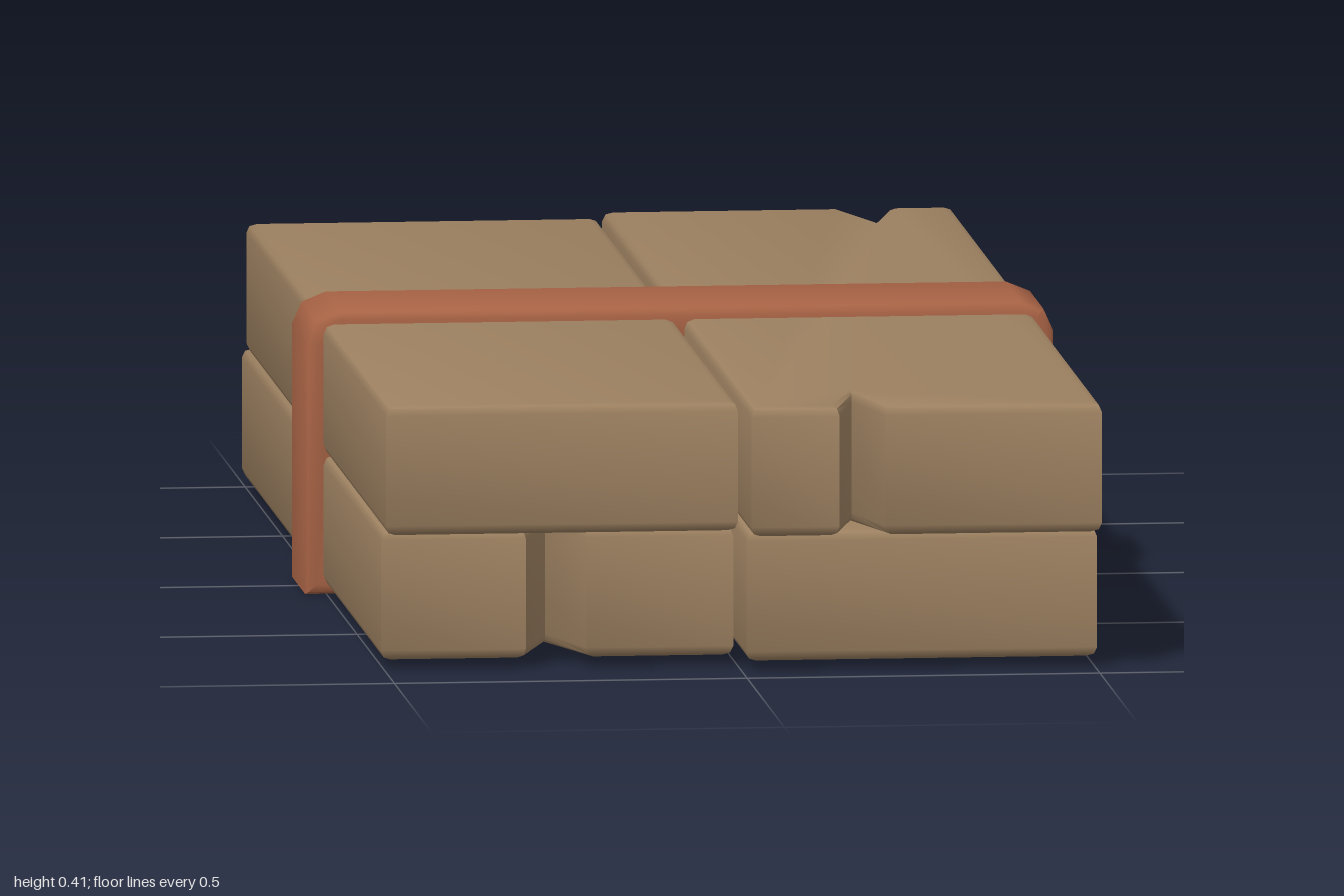
import * as THREE from 'three';
import { toCreasedNormals } from 'three/addons/utils/BufferGeometryUtils.js';

const BEVEL = 0.014;

// Extrudes an outline with soft edges; the bevel stays inside the outline and depth.
function softExtrude(shape, depth) {
  const geo = new THREE.ExtrudeGeometry(shape, {
    depth: depth - 2 * BEVEL, bevelEnabled: true, bevelThickness: BEVEL,
    bevelSize: BEVEL, bevelOffset: -BEVEL, bevelSegments: 2,
  });
  geo.translate(0, 0, BEVEL);
  return toCreasedNormals(geo, 0.85);
}

// Plank drawn in plan (x, -z), with optional V-shaped splits in its ends.
function plank({ x0, x1, front, back, y0, y1, frontSplit, backSplit }) {
  const pts = [[x0, front]];
  if (frontSplit) {
    const [x, half, depth] = frontSplit;
    pts.push([x - half, front], [x, front - depth], [x + half, front]);
  }
  pts.push([x1, front], [x1, back]);
  if (backSplit) {
    const [x, half, depth] = backSplit;
    pts.push([x + half, back], [x, back + depth], [x - half, back]);
  }
  pts.push([x0, back]);
  const shape = new THREE.Shape(pts.map(([x, z]) => new THREE.Vector2(x, -z)));
  const geo = softExtrude(shape, y1 - y0);
  geo.rotateX(-Math.PI / 2);
  geo.translate(0, y0, 0);
  return geo;
}

export function createModel() {
  const group = new THREE.Group();
  const wood = new THREE.MeshStandardMaterial({ color: 0x9c8060 });
  wood.name = 'wood';
  const leather = new THREE.MeshStandardMaterial({ color: 0xa86345 });
  leather.name = 'leather';

  const add = (name, geo, mat) => {
    const mesh = new THREE.Mesh(geo, mat);
    mesh.name = name;
    group.add(mesh);
  };

  // Two layers of two planks
  const right = { x0: -0.505, x1: -0.006 };
  const left = { x0: 0.006, x1: 0.503 };
  const lower = { y0: 0.014, y1: 0.199 };
  const upper = { y0: 0.2, y1: 0.385 };
  const planks = {
    lowerLeftPlank: { ...left, ...lower, front: 0.935, back: -0.935 },
    lowerRightPlank: { ...right, ...lower, front: 0.87, back: -0.997, frontSplit: [-0.257, 0.043, 0.15] },
    upperRightPlank: { ...right, ...upper, front: 0.935, back: -0.937 },
    upperLeftPlank: {
      ...left, ...upper, front: 1, back: -1,
      frontSplit: [0.163, 0.032, 0.14], backSplit: [0.378, 0.032, 0.14],
    },
  };
  for (const [name, spec] of Object.entries(planks)) add(name, plank(spec), wood);

  // Strap around the bundle, with rounded upper corners
  const outline = [
    [-0.53, 0], [0.53, 0], [0.53, 0.36], [0.516, 0.391], [0.482, 0.405],
    [-0.482, 0.405], [-0.516, 0.391], [-0.53, 0.36],
  ];
  const strap = new THREE.Shape(outline.map(([x, y]) => new THREE.Vector2(x, y)));
  const hole = [[-0.48, 0.055], [-0.48, 0.35], [0.48, 0.35], [0.48, 0.055]];
  strap.holes.push(new THREE.Path(hole.map(([x, y]) => new THREE.Vector2(x, y))));
  const strapGeo = softExtrude(strap, 0.206);
  strapGeo.translate(0, 0, -0.106);
  add('strap', strapGeo, leather);

  return group;
}
